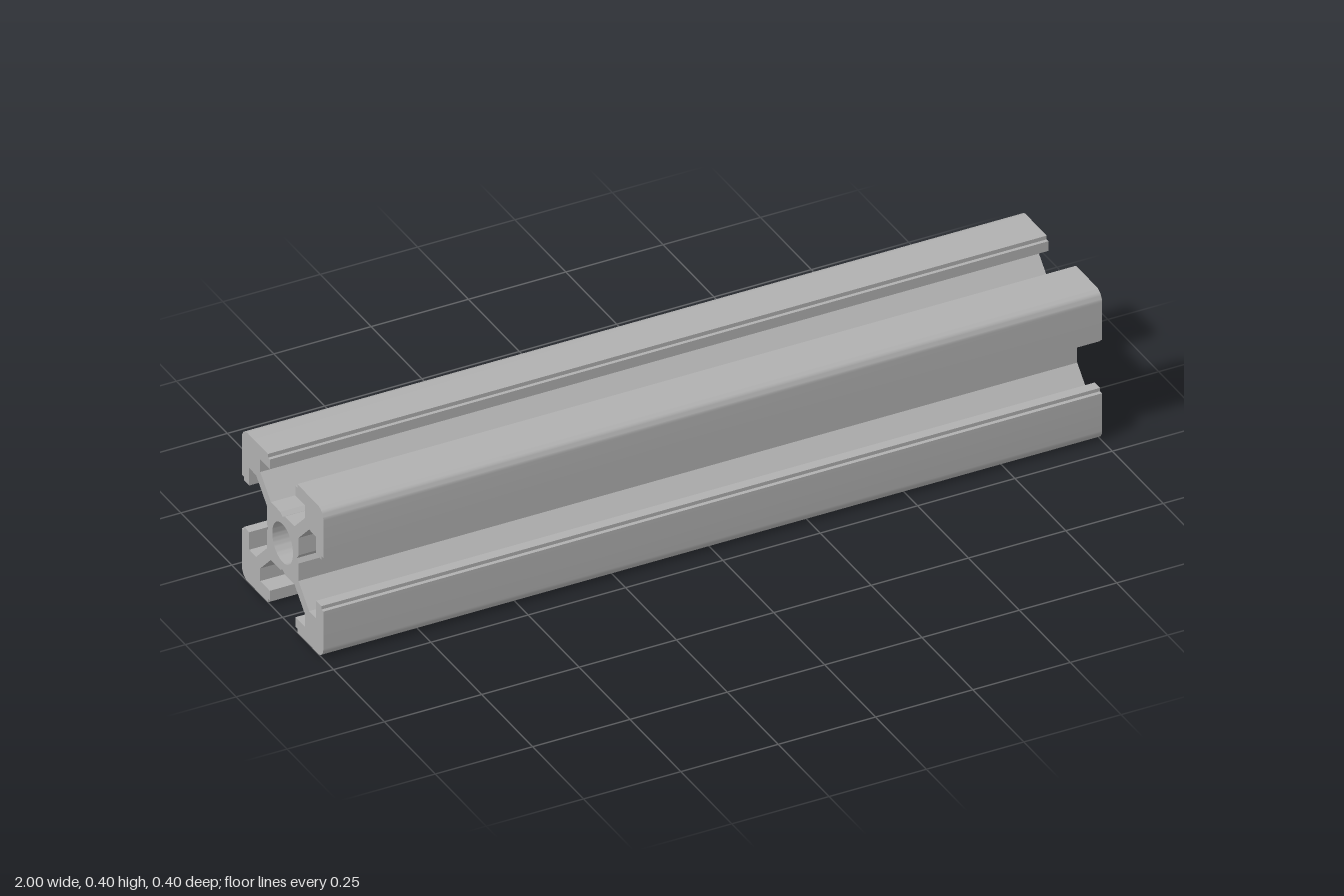
import * as THREE from 'three';
import { toCreasedNormals } from 'three/addons/utils/BufferGeometryUtils.js';

// Half of one quadrant, from the slot floor's centre groove to the rounded corner
const HALF = [
  [0, 0.071], [0.011, 0.078], [0.058, 0.078], [0.11, 0.13], [0.11, 0.164],
  [0.063, 0.164], [0.063, 0.19], [0.072, 0.19], [0.072, 0.2],
];
const CORNER = 0.027, BORE = 0.051, LENGTH = 2, HEIGHT = 0.4;

function profile() {
  const quadrant = [...HALF];
  // rounded outer corner
  const c = 0.2 - CORNER, steps = 10;
  for (let i = 0; i <= steps; i++) {
    const a = (Math.PI / 2) * (1 - i / steps);
    quadrant.push([c + CORNER * Math.cos(a), c + CORNER * Math.sin(a)]);
  }
  // mirror across the diagonal; the last groove point belongs to the next quadrant
  for (const [u, v] of HALF.slice(1).reverse()) quadrant.push([v, u]);

  // four quarter turns, clockwise
  const points = [];
  for (let q = 0; q < 4; q++) {
    for (const [u, v] of quadrant) {
      let p = [u, v];
      for (let k = 0; k < q; k++) p = [p[1], -p[0]];
      points.push(new THREE.Vector2(p[0], p[1]));
    }
  }
  const shape = new THREE.Shape(points);

  // centre bore
  const bore = new THREE.Path();
  bore.absarc(0, 0, BORE, 0, Math.PI * 2, false);
  shape.holes.push(bore);
  return shape;
}

export function createModel() {
  const group = new THREE.Group();
  group.name = 'slottedRail';

  const aluminium = new THREE.MeshStandardMaterial({ color: 0xb0b0b0 });
  aluminium.name = 'aluminium grey';

  let geometry = new THREE.ExtrudeGeometry(profile(), {
    depth: LENGTH, bevelEnabled: false, curveSegments: 32,
  });
  geometry.translate(0, 0, -LENGTH / 2);
  geometry.rotateY(Math.PI / 2);
  geometry.translate(0, HEIGHT / 2, 0);
  geometry = toCreasedNormals(geometry, 0.4);

  const rail = new THREE.Mesh(geometry, aluminium);
  rail.name = 'extrudedRail';
  group.add(rail);
  return group;
}
